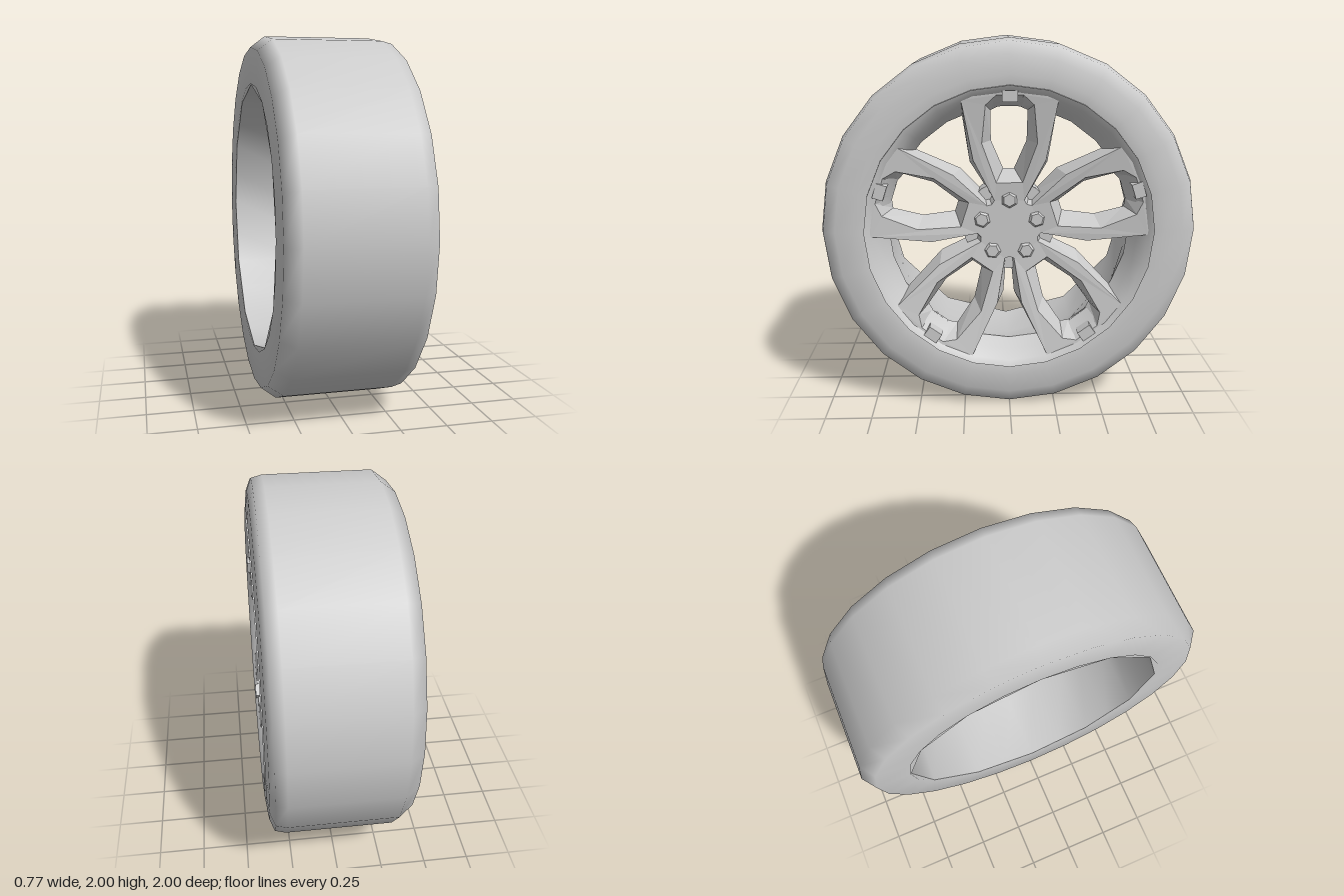
import * as THREE from 'three';
import { toCreasedNormals } from 'three/addons/utils/BufferGeometryUtils.js';

const smooth = new THREE.MeshStandardMaterial({ color: 0xcccccc, side: THREE.DoubleSide });
const flat = new THREE.MeshStandardMaterial({ color: 0xcccccc, side: THREE.DoubleSide, flatShading: true });
const V = (x, y) => new THREE.Vector2(x, y);

function add(parent, name, geometry, material) {
  const mesh = new THREE.Mesh(geometry, material);
  mesh.name = name;
  parent.add(mesh);
  return mesh;
}

// Ring turned about the local z axis; profile is [radius, z] pairs
function turned(profile, sides) {
  return new THREE.LatheGeometry(profile.map(p => V(p[0], p[1])), sides).rotateX(Math.PI / 2);
}

// Rim with a 24-sided front whose barrel eases into 12 sides at the back
function rimGeometry(profile) {
  const g = turned(profile, 24);
  const pos = g.attributes.position;
  for (let i = 0; i < pos.count; i++) {
    const odd = Math.floor(i / profile.length) % 2 === 1;
    if (odd && pos.getZ(i) < 0.1) {
      const k = Math.cos(Math.PI / 12); // onto the middle of the 12-gon's side
      pos.setXY(i, pos.getX(i) * k, pos.getY(i) * k);
    }
  }
  return toCreasedNormals(g, 0.6);
}

// Outline of one spoke pair: hub centre, side edges toward the neighbours, outer arc
function pairOutline(edge, outerRadius) {
  const turn = Math.PI / 5;
  const right = edge.map(([v, u]) => V(-v, u).rotateAround(V(0, 0), -turn));
  const end = right[right.length - 1];
  const half = Math.atan2(end.x, end.y);
  const arc = [];
  for (let i = 0; i <= 4; i++) {
    const a = half * (1 - i / 2);
    arc.push(V(Math.sin(a) * outerRadius, Math.cos(a) * outerRadius));
  }
  const left = right.map(p => V(-p.x, p.y)).reverse();
  return [V(0, 0), ...right, ...arc, ...left];
}

// Window between the two spokes of a pair
function windowOutline(half) {
  const pts = half.map(([v, u]) => V(v, u));
  return [...pts, ...pts.map(p => V(-p.x, p.y)).reverse()];
}

// Plate with a window whose front and back outlines differ, joined by sloping walls
function taperedPlate(front, back, frontDepth, backDepth) {
  const pos = [];
  const at = (p, depth) => [p.x, p.y, depth(p.length())];
  const cap = (loops, depth, flip) => {
    const all = loops.flat();
    for (const [a, b, c] of THREE.ShapeUtils.triangulateShape(loops[0], [loops[1]])) {
      for (const i of flip ? [a, c, b] : [a, b, c]) pos.push(...at(all[i], depth));
    }
  };
  cap(front, frontDepth, false);
  cap(back, backDepth, true);
  front.forEach((loop, k) => loop.forEach((p, i) => {
    const j = (i + 1) % loop.length;
    if (k === 0 && (i === 0 || j === 0)) return; // edges shared with the next pair
    const a = at(p, frontDepth), b = at(loop[j], frontDepth);
    const c = at(back[k][j], backDepth), d = at(back[k][i], backDepth);
    pos.push(...a, ...d, ...c, ...a, ...c, ...b);
  }));
  const g = new THREE.BufferGeometry();
  g.setAttribute('position', new THREE.Float32BufferAttribute(pos, 3));
  g.computeVertexNormals();
  return g;
}

export function createModel() {
  const model = new THREE.Group();
  model.name = 'wheel';
  const wheel = new THREE.Group();
  wheel.name = 'wheelAssembly';
  wheel.position.y = 1;
  wheel.rotation.y = Math.PI / 2; // local +z is the outer face, toward +x
  model.add(wheel);

  // Tyre
  add(wheel, 'tyre', turned([
    [0.745, -0.383], [0.94, -0.383], [1, -0.304], [1, 0.283],
    [0.985, 0.341], [0.92, 0.367], [0.82, 0.379], [0.768, 0.372],
  ], 24), smooth);

  // Rim: barrel open at the back, neck, slope and front face ring
  add(wheel, 'rim', rimGeometry([
    [0.8, -0.381], [0.74, -0.381], [0.72, 0], [0.652, 0.235],
    [0.69, 0.31], [0.735, 0.366], [0.767, 0.383], [0.772, 0.34],
  ]), smooth);

  // Five pairs of dished spokes
  const dish = (from, to) => r => THREE.MathUtils.mapLinear(THREE.MathUtils.clamp(r, 0.2, 0.74), 0.2, 0.74, from, to);
  const spokes = taperedPlate(
    [
      pairOutline([[0, 0.16], [0.025, 0.17], [0.066, 0.415], [0.205, 0.705]], 0.75),
      windowOutline([[0.07, 0.25], [0.145, 0.465], [0.125, 0.665], [0.07, 0.716]]),
    ],
    [
      pairOutline([[0, 0.2], [0.012, 0.21], [0.03, 0.4], [0.165, 0.655]], 0.69),
      windowOutline([[0.03, 0.3], [0.096, 0.46], [0.098, 0.625], [0.055, 0.645]]),
    ],
    dish(0.29, 0.367), dish(0.12, 0.245));

  for (let i = 0; i < 5; i++) {
    const arm = new THREE.Group();
    arm.name = 'spokePair' + (i + 1);
    arm.rotation.z = (i * Math.PI * 2) / 5;
    wheel.add(arm);
    add(arm, 'spokes', spokes, flat);

    // Clip at the outer end of the window
    add(arm, 'clip', new THREE.BoxGeometry(0.08, 0.058, 0.08), flat).position.set(0, 0.711, 0.338);

    // Low bevelled lug nut
    const nut = new THREE.CylinderGeometry(0.034, 0.047, 0.014, 6).rotateX(Math.PI / 2);
    add(arm, 'lugNut', nut, flat).position.set(0, 0.155, 0.296);
  }

  // Hub behind the spokes
  const hub = new THREE.CylinderGeometry(0.25, 0.25, 0.11, 20).rotateX(Math.PI / 2);
  add(wheel, 'hub', toCreasedNormals(hub, 0.6), smooth).position.z = 0.165;

  return model;
}
